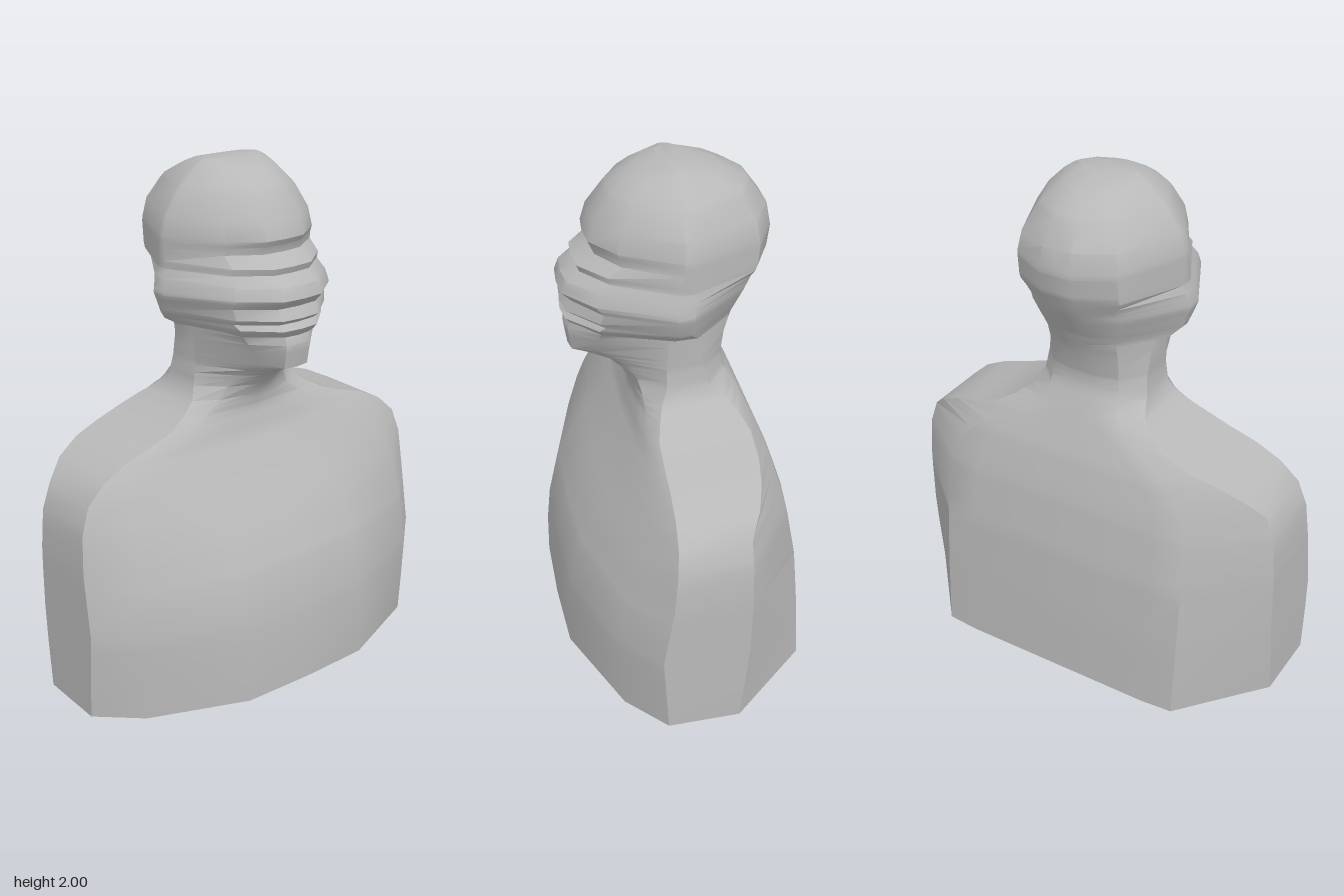
import * as THREE from 'three';
import { toCreasedNormals } from 'three/addons/utils/BufferGeometryUtils.js';

// Each track lists [height, value] pairs
const halfWidth = [[0, .81], [.2, .81], [.6, .803], [.75, .79], [.85, .755], [.92, .68], [.97, .58], [1, .48], [1.04, .37],
  [1.08, .3], [1.12, .25], [1.17, .225], [1.25, .215], [1.41, .22], [1.42, .28], [1.46, .32], [1.54, .346], [1.6, .335],
  [1.63, .322], [1.75, .32], [1.82, .3], [1.9, .247], [1.96, .185], [1.985, .15], [2, .12]];
const front = [[0, .455], [.2, .452], [.35, .437], [.52, .4], [.67, .33], [.85, .22], [.97, .155], [1.07, .13], [1.12, .14],
  [1.17, .17], [1.22, .215], [1.265, .3], [1.29, .36], [1.38, .373], [1.41, .36], [1.44, .383], [1.46, .358], [1.48, .383],
  [1.52, .36], [1.555, .392], [1.6, .375], [1.635, .325], [1.66, .335], [1.7, .27], [1.725, .275], [1.75, .29], [1.82, .27],
  [1.92, .2], [1.96, .14], [1.985, .09], [2, .02]];
const back = [[0, -.455], [.3, -.44], [.55, -.42], [.78, -.38], [.95, -.33], [1.1, -.265], [1.2, -.22], [1.25, -.213],
  [1.35, -.235], [1.45, -.275], [1.57, -.34], [1.65, -.375], [1.73, -.386], [1.82, -.37], [1.92, -.3], [1.97, -.2], [2, -.08]];
// Front and rear edges of the flat arm sides, closing to a ridge on the head
const sideFront = [[0, .15], [.35, .17], [.6, .13], [.9, .1], [1.04, .09], [1.17, .03], [1.41, .02], [1.46, -.01], [1.55, .02],
  [1.6, 0], [1.85, -.02], [2, -.02]];
const sideBack = [[0, -.13], [.4, -.165], [.85, -.165], [.95, -.23], [1.02, -.27], [1.08, -.23], [1.17, -.13], [1.41, -.08],
  [1.46, -.04], [1.6, -.05], [1.85, -.04], [2, -.04]];
// Section corners as fractions of the half width
const frontInner = [[0, .35], [1, .35], [1.17, .2], [1.3, .25], [2, .28]];
const frontOuter = [[0, .81], [1, .8], [1.17, .6], [1.29, .45], [1.41, .78], [1.42, .64], [1.75, .62], [2, .68]];
const backOuter = [[0, .655], [.9, .67], [1.17, .65], [1.41, .66], [1.42, .52], [1.59, .52], [1.62, .64], [2, .64]];
const backInner = [[0, .5], [1, .5], [1.17, .25], [2, .18]];
// How far the outer corners reach out to the front and back
const frontReach = [[0, .47], [1, .6], [1.3, .7], [2, .7]];
const backReach = [[0, .97], [1, .9], [1.3, .78], [2, .78]];

function sample(track, y) {
  for (let i = 1; i < track.length; i++) {
    const [y0, a] = track[i - 1], [y1, b] = track[i];
    if (y <= y1) return a + (b - a) * (y - y0) / (y1 - y0);
  }
  return track[track.length - 1][1];
}

// Symmetric sixteen-sided style section running front, left, back, right
function section(y) {
  const w = sample(halfWidth, y), f = sample(front, y), b = sample(back, y);
  const sf = sample(sideFront, y), sb = sample(sideBack, y);
  const half = [
    [0, f],
    [w * sample(frontInner, y), f - .008],
    [w * sample(frontOuter, y), sf + (f - sf) * sample(frontReach, y)],
    [w, sf],
    [w * .995, sb],
    [w * sample(backOuter, y), sb + (b - sb) * sample(backReach, y)],
    [w * sample(backInner, y), b],
    [0, b],
  ];
  const mirrored = half.slice(1, -1).reverse().map(([x, z]) => [-x, z]);
  return [...half, ...mirrored];
}

function loft(heights) {
  const pos = [], index = [], n = 14;
  heights.forEach((y, row) => {
    for (const [x, z] of section(y)) pos.push(x, row === 0 ? .01 + z * .022 : y, z);
  });
  for (let r = 0; r < heights.length - 1; r++) {
    for (let j = 0; j < n; j++) {
      const a = r * n + j, b = r * n + (j + 1) % n;
      index.push(a, b, b + n, a, b + n, a + n);
    }
  }
  // Base and crown caps
  const top = (heights.length - 1) * n, base = pos.length / 3;
  pos.push(0, .01, 0, 0, 2, -.03);
  for (let j = 0; j < n; j++) {
    const k = (j + 1) % n;
    index.push(base, k, j, base + 1, top + j, top + k);
  }
  const geo = new THREE.BufferGeometry();
  geo.setAttribute('position', new THREE.Float32BufferAttribute(pos, 3));
  geo.setIndex(index);
  return toCreasedNormals(geo, .6);
}

export function createModel() {
  const clay = new THREE.MeshStandardMaterial({ color: 0xb8b8b8 });
  clay.name = 'grey clay';
  const group = new THREE.Group();
  group.name = 'bust';

  // One continuous skin through the shoulders, neck and head
  const tracks = [halfWidth, front, back];
  const heights = [...new Set(tracks.flat().map(([y]) => y))].sort((a, b) => a - b);
  const skin = new THREE.Mesh(loft(heights), clay);
  skin.name = 'headAndShoulders';
  group.add(skin);
  return group;
}
